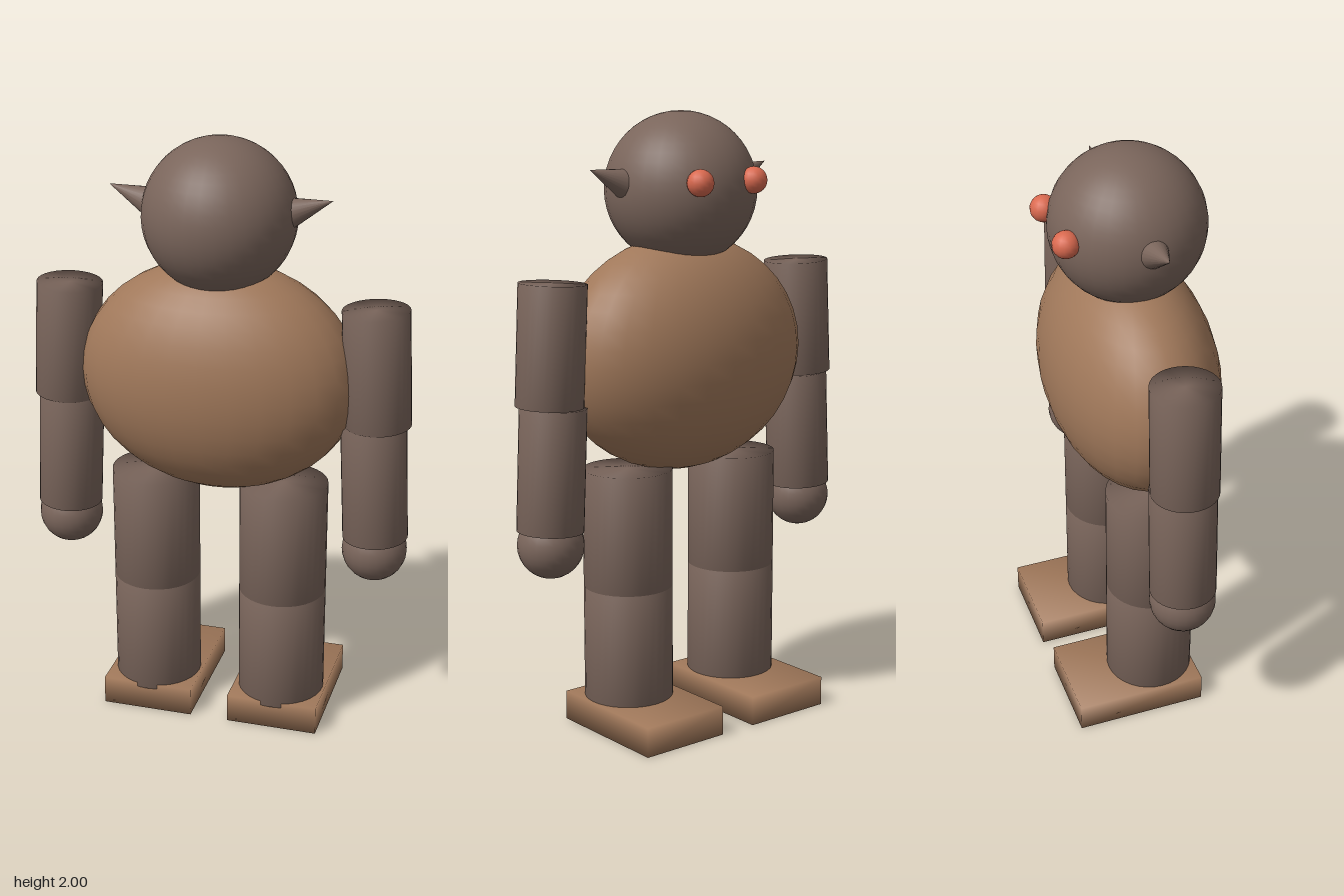
import * as THREE from 'three';
import { mergeVertices } from 'three/addons/utils/BufferGeometryUtils.js';

const fur = new THREE.MeshStandardMaterial({ name: 'greyBrown', color: 0x7a655b });
const tan = new THREE.MeshStandardMaterial({ name: 'tan', color: 0xa0785a });
const coral = new THREE.MeshStandardMaterial({ name: 'coral', color: 0xd9694f });

// Shares corner vertices so the normals blend softly over the edges
function soften(geometry) {
  geometry.deleteAttribute('normal');
  geometry.deleteAttribute('uv');
  const merged = mergeVertices(geometry, 1e-4);
  merged.computeVertexNormals();
  return merged;
}

export function createModel() {
  const model = new THREE.Group();
  model.name = 'creature';

  function add(parent, name, geometry, material, x, y, z) {
    const mesh = new THREE.Mesh(geometry, material);
    mesh.name = name;
    mesh.position.set(x, y, z);
    parent.add(mesh);
    return mesh;
  }

  // Cylinder running between two points given as [x, y]
  function limb(parent, name, top, bottom, radius, z) {
    const dx = top[0] - bottom[0], dy = top[1] - bottom[1];
    const geometry = soften(new THREE.CylinderGeometry(radius, radius, Math.hypot(dx, dy), 32));
    const mesh = add(parent, name, geometry, fur, (top[0] + bottom[0]) / 2, (top[1] + bottom[1]) / 2, z);
    mesh.rotation.z = -Math.atan2(dx, dy);
  }

  // Torso and head
  const torso = new THREE.SphereGeometry(1, 28, 20).scale(0.462, 0.385, 0.272);
  add(model, 'torso', torso, tan, 0, 1.22, 0.012);
  add(model, 'head', new THREE.SphereGeometry(0.247, 32, 24), fur, 0, 1.753, 0.011);

  for (const [side, s] of [['left', 1], ['right', -1]]) {
    // Pointed ear, tilted upward
    const tilt = 0.34, length = 0.15;
    const ear = add(model, side + 'Ear', new THREE.ConeGeometry(0.051, length, 20), fur,
      s * (0.361 - Math.cos(tilt) * length / 2), 1.826 - Math.sin(tilt) * length / 2, 0.012);
    ear.rotation.z = -s * (Math.PI / 2 - tilt);

    // Eye
    add(model, side + 'Eye', new THREE.SphereGeometry(0.043, 16, 12), coral, s * 0.109, 1.787, -0.22);

    // Arm
    const arm = new THREE.Group();
    arm.name = side + 'Arm';
    limb(arm, 'upperArm', [s * 0.506, 1.487], [s * 0.525, 1.103], 0.108, 0.011);
    limb(arm, 'forearm', [s * 0.511, 1.1], [s * 0.529, 0.706], 0.107, 0.011);
    add(arm, 'hand', new THREE.SphereGeometry(0.107, 24, 16), fur, s * 0.528, 0.66, 0.011);
    model.add(arm);

    // Leg and foot
    const leg = new THREE.Group();
    leg.name = side + 'Leg';
    limb(leg, 'thigh', [s * 0.22, 0.862], [s * 0.22, 0.472], 0.146, 0.013);
    limb(leg, 'shin', [s * 0.22, 0.472], [s * 0.22, 0.082], 0.146, 0.013);
    add(leg, 'foot', soften(new THREE.BoxGeometry(0.31, 0.097, 0.44)), tan, s * 0.22, 0.0485, -0.066);
    model.add(leg);
  }
  return model;
}
